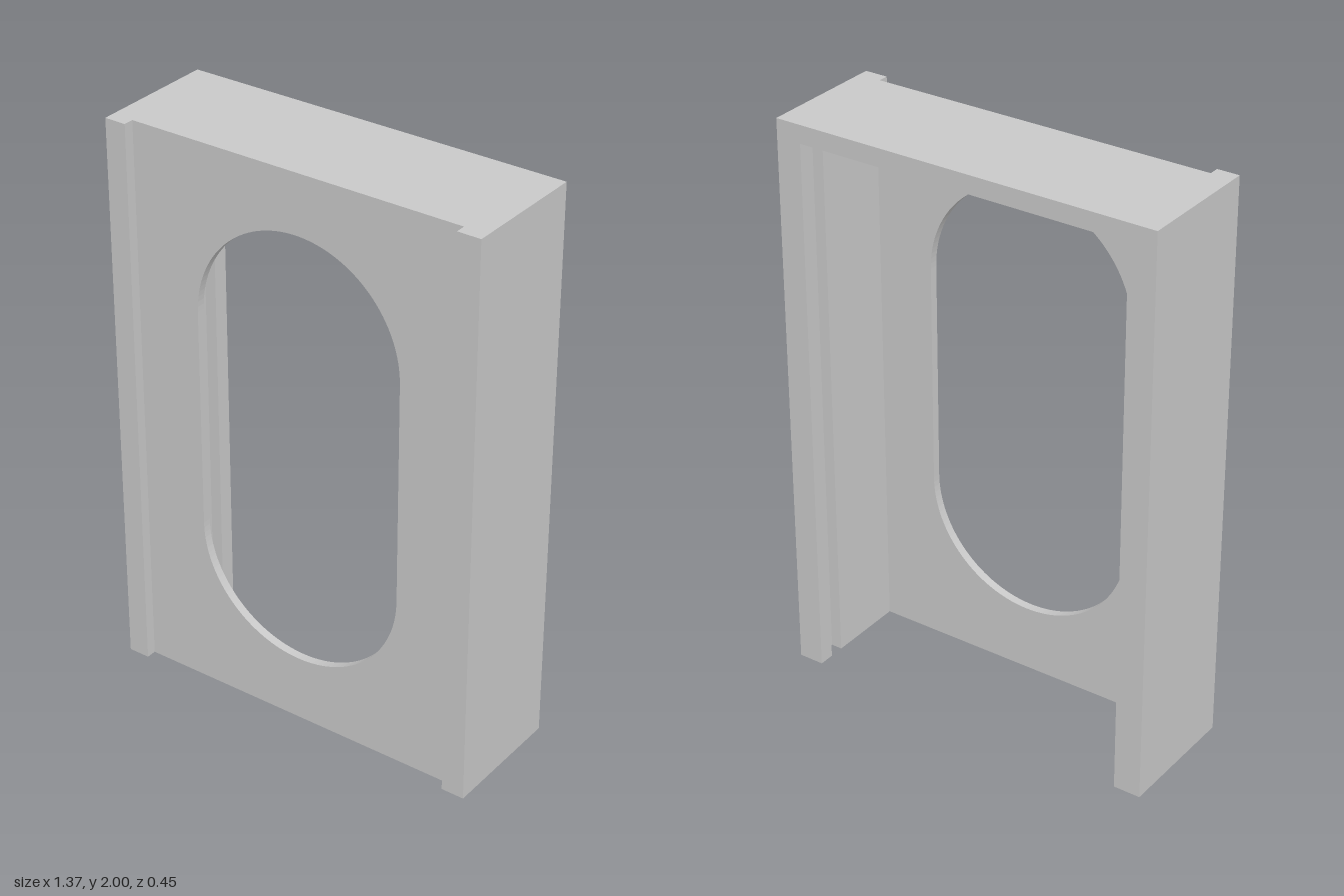
import * as THREE from 'three';

const H = 2, OUT = 0.687, BACK = -0.226, FACE = 0.19, FRONT = 0.226;
const LEFT_IN = 0.597, RIGHT_IN = 0.591; // inner faces of the two walls
const SLOT_BACK = -0.17, SLOT_FRONT = -0.118, SLOT_X = 0.637;
const PLATE = 0.03, TOP = 0.063;

// Extrudes a plan outline of [x, z] points upwards from y = 0
function extrudePlan(plan, height) {
  const shape = new THREE.Shape(plan.map(([x, z]) => new THREE.Vector2(x, -z)));
  return new THREE.ExtrudeGeometry(shape, { depth: height, bevelEnabled: false }).rotateX(-Math.PI / 2);
}

// Side wall with a slot near the back and a raised strip at the front
function sideWall(side, inner, strip) {
  const plan = [
    [OUT, BACK], [inner, BACK], [inner, SLOT_BACK], [SLOT_X, SLOT_BACK],
    [SLOT_X, SLOT_FRONT], [inner, SLOT_FRONT], [inner, FACE],
    [strip, FACE], [strip, FRONT], [OUT, FRONT],
  ];
  return extrudePlan(plan.map(([x, z]) => [side * x, z]), H);
}

// Front plate with a tall round-ended opening
function frontPlate() {
  const shape = new THREE.Shape([
    new THREE.Vector2(-RIGHT_IN, 0), new THREE.Vector2(LEFT_IN, 0),
    new THREE.Vector2(LEFT_IN, H), new THREE.Vector2(-RIGHT_IN, H),
  ]);
  const cx = 0.01, r = 0.384, low = 0.622, high = 1.408;
  const hole = new THREE.Path();
  hole.absarc(cx, high, r, 0, Math.PI, false);
  hole.absarc(cx, low, r, Math.PI, Math.PI * 2, false);
  hole.closePath();
  shape.holes.push(hole);
  return new THREE.ExtrudeGeometry(shape, { depth: PLATE, bevelEnabled: false, curveSegments: 32 })
    .translate(0, 0, FACE - PLATE);
}

// Top panel between the walls, with tabs that close the slots
function topPanel() {
  const edge = (side, inner) => [
    [inner, BACK], [inner, SLOT_BACK], [SLOT_X, SLOT_BACK],
    [SLOT_X, SLOT_FRONT], [inner, SLOT_FRONT], [inner, FACE - PLATE],
  ].map(([x, z]) => [side * x, z]);
  const plan = [...edge(1, LEFT_IN), ...edge(-1, RIGHT_IN).reverse()];
  return extrudePlan(plan, TOP).translate(0, H - TOP, 0);
}

export function createModel() {
  const group = new THREE.Group();
  group.name = 'openFrame';
  const grey = new THREE.MeshStandardMaterial({ color: 0xc8c8c8 });
  grey.name = 'lightGrey';

  const parts = {
    leftWall: sideWall(1, LEFT_IN, 0.605),
    rightWall: sideWall(-1, RIGHT_IN, 0.61),
    frontPlate: frontPlate(),
    topPanel: topPanel(),
  };
  for (const [name, geometry] of Object.entries(parts)) {
    const mesh = new THREE.Mesh(geometry, grey);
    mesh.name = name;
    group.add(mesh);
  }
  return group;
}
